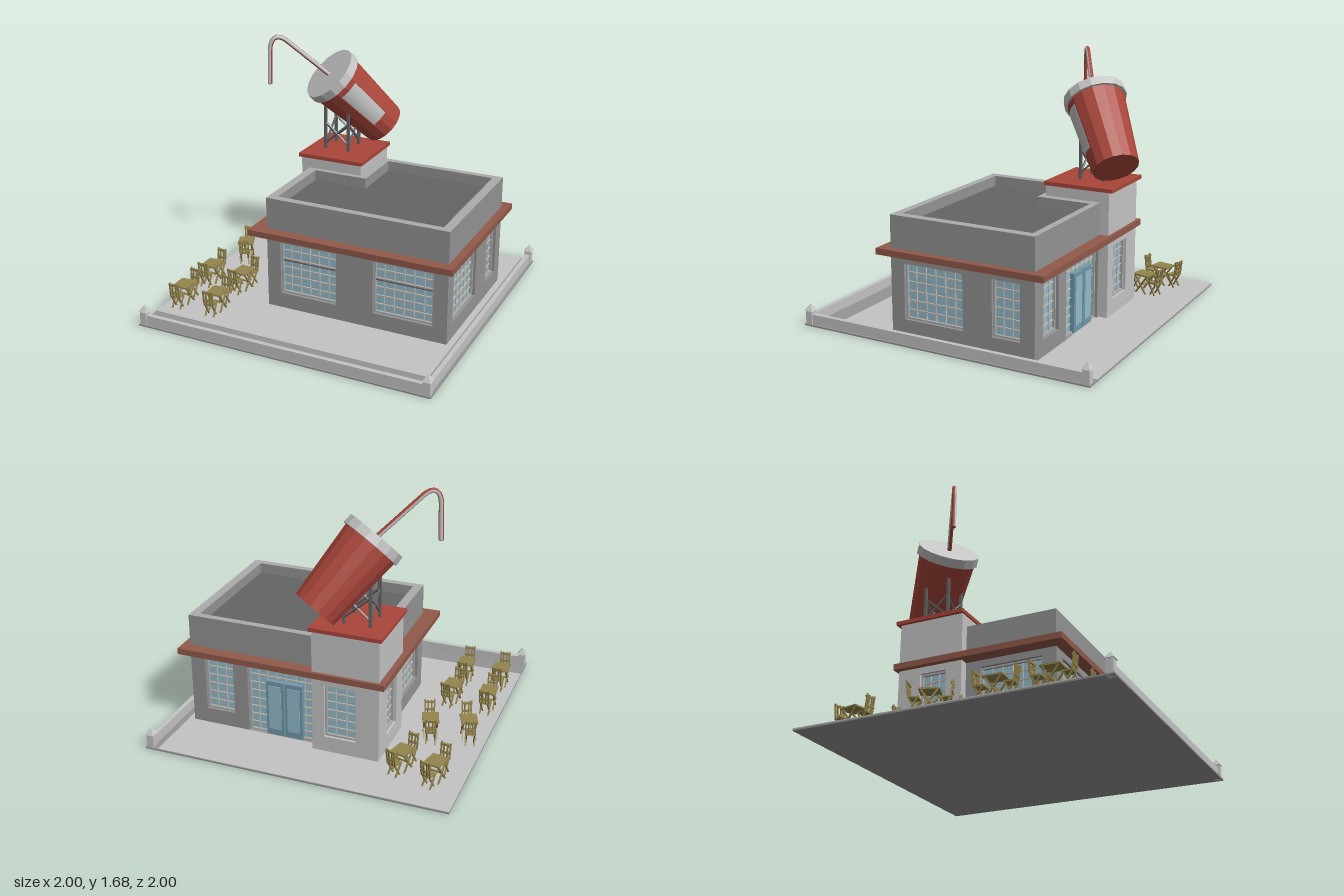
import * as THREE from 'three';

const mat = (name, color, extra = {}) => {
  const m = new THREE.MeshStandardMaterial({ color, ...extra });
  m.name = name;
  return m;
};

export function createModel() {
  const root = new THREE.Group();
  root.name = 'restaurant';
  const light = mat('lightGrey', 0xc4c4c4), grey = mat('wallGrey', 0x949494);
  const trim = mat('trimGrey', 0xacacac), dark = mat('darkGrey', 0x646464);
  const red = mat('red', 0xaa463b), brown = mat('corniceBrown', 0x925a4a);
  const glass = mat('glass', 0x94bccb), doorBlue = mat('doorBlue', 0x7199ab);
  const bead = mat('mullion', 0xc9beb4), wood = mat('wood', 0x94854e);

  const add = (parent, name, geo, m) => {
    const mesh = new THREE.Mesh(geo, m);
    mesh.name = name;
    parent.add(mesh);
    return mesh;
  };
  // box given by its minimum and maximum corners
  const box = (p, name, m, x0, x1, y0, y1, z0, z1) => {
    const b = add(p, name, new THREE.BoxGeometry(x1 - x0, y1 - y0, z1 - z0), m);
    b.position.set((x0 + x1) / 2, (y0 + y1) / 2, (z0 + z1) / 2);
    return b;
  };
  // square bar between two points
  const bar = (p, name, m, a, b, w) => {
    const A = new THREE.Vector3(...a), B = new THREE.Vector3(...b);
    const s = add(p, name, new THREE.BoxGeometry(w, w, A.distanceTo(B)), m);
    s.position.copy(A).add(B).multiplyScalar(0.5);
    s.quaternion.setFromUnitVectors(new THREE.Vector3(0, 0, 1), B.sub(A).normalize());
    return s;
  };
  const poly = (pts, Type = THREE.Shape) => new Type(pts.map(p => new THREE.Vector2(...p)));
  const rect = (x0, x1, y0, y1, Type) => poly([[x0, y0], [x1, y0], [x1, y1], [x0, y1]], Type);

  // ---- ground, low walls and posts ----
  box(root, 'groundPlate', grey, -1, 1, 0, 0.01, -1, 1);
  box(root, 'plaza', light, -1, 0.91, 0.01, 0.016, -1, 0.81);
  box(root, 'frontLowWall', light, -0.95, 0.95, 0.01, 0.075, 0.955, 0.985);
  box(root, 'sideLowWall', light, 0.955, 0.985, 0.01, 0.075, -0.95, 0.95);
  for (const [x, z] of [[-0.97, 0.97], [0.97, 0.97], [0.97, -0.97]]) {
    box(root, 'post', light, x - 0.023, x + 0.023, 0, 0.1, z - 0.023, z + 0.023);
    const cap = add(root, 'postCap', new THREE.ConeGeometry(0.042, 0.045, 4, 1).rotateY(Math.PI / 4).toNonIndexed(), light);
    cap.geometry.computeVertexNormals();
    cap.position.set(x, 0.12, z);
  }

  // ---- walls with recessed windows; u runs to the right seen from outside ----
  const T = 0.05;
  function windowUnit(g, [u0, u1, y0, y1], cols, rows) {
    box(g, 'glass', glass, u0, u1, y0, y1, -0.045, -0.036);
    const f = 0.012, z0 = -0.037, z1 = -0.018;
    box(g, 'windowFrame', trim, u0, u0 + f, y0, y1, z0, z1);
    box(g, 'windowFrame', trim, u1 - f, u1, y0, y1, z0, z1);
    box(g, 'windowFrame', trim, u0, u1, y0, y0 + f, z0, z1);
    box(g, 'windowFrame', trim, u0, u1, y1 - f, y1, z0, z1);
    for (let i = 1; i < cols; i++) {
      const u = u0 + (u1 - u0) * i / cols;
      box(g, 'mullion', bead, u - 0.003, u + 0.003, y0, y1, -0.037, -0.028);
    }
    for (let i = 1; i < rows; i++) {
      const y = y0 + (y1 - y0) * i / rows;
      box(g, 'glazingBar', bead, u0, u1, y - 0.003, y + 0.003, -0.037, -0.028);
    }
  }
  function wall(name, m, angle, dist, u0, u1, holes) {
    const g = new THREE.Group();
    g.name = name;
    g.rotation.y = angle;
    g.position.set(Math.sin(angle) * dist, 0, Math.cos(angle) * dist);
    const s = rect(u0, u1, 0.005, 0.54);
    for (const [a, b, c, d] of holes) s.holes.push(rect(a, b, c, d, THREE.Path));
    add(g, name + 'Panel', new THREE.ExtrudeGeometry(s, { depth: T, bevelEnabled: false }).translate(0, 0, -T), m);
    for (const h of holes) windowUnit(g, h, Math.max(3, Math.round((h[1] - h[0]) / 0.066)), Math.round((h[3] - h[2]) / 0.06));
    root.add(g);
    return g;
  }
  const Y0 = 0.12, Y1 = 0.48, PI = Math.PI;
  const front = wall('frontWall', grey, 0, 0.41, -0.38, 0.87, [[-0.285, 0.115, Y0, Y1], [0.37, 0.775, Y0, Y1]]);
  for (const [a, b] of [[-0.285, 0.115], [0.37, 0.775]])
    box(front, 'transom', dark, a, b, 0.345, 0.352, -0.037, -0.024);
  wall('rightWall', grey, PI / 2, 0.87, -0.41, 0.585, [[-0.315, 0.1, Y0, Y1], [0.3, 0.49, Y0, Y1]]);
  wall('leftWall', grey, -PI / 2, 0.38, -0.21, 0.41, [[-0.1, 0.315, Y0, Y1]]);
  const back = wall('backWall', grey, PI, 0.585, -0.87, 0, [[-0.77, -0.57, Y0, Y1], [-0.47, -0.02, 0.016, Y1]]);
  wall('towerBackWall', light, PI, 0.645, 0, 0.44, [[0.08, 0.29, Y0, Y1]]);
  wall('towerLeftWall', light, -PI / 2, 0.44, -0.645, -0.2, [[-0.49, -0.31, Y0, Y1]]);

  // double entrance door
  for (const [a, b] of [[-0.345, -0.224], [-0.216, -0.095]]) {
    box(back, 'doorLeaf', doorBlue, a, b, 0.016, 0.4, -0.036, -0.005);
    box(back, 'doorPane', glass, a + 0.018, b - 0.018, 0.06, 0.37, -0.006, -0.001);
  }

  // ---- tower, cornice, parapet and roof ----
  box(root, 'towerCore', light, -0.392, 0, 0.005, 0.54, -0.597, -0.2);
  box(root, 'towerTop', light, -0.44, 0, 0.54, 0.85, -0.645, -0.2);
  box(root, 'towerCap', red, -0.46, 0.01, 0.845, 0.87, -0.67, -0.19);
  box(root, 'cornice', brown, -0.478, 0.92, 0.525, 0.565, -0.665, 0.487);
  const par = rect(-0.38, 0.87, -0.41, 0.585);
  par.holes.push(poly([[-0.32, -0.36], [0.81, -0.36], [0.81, 0.54], [0.055, 0.54], [0.055, 0.165], [-0.32, 0.165]], THREE.Path));
  const parGeo = new THREE.ExtrudeGeometry(par, { depth: 0.215, bevelEnabled: false }).rotateX(-PI / 2);
  add(root, 'parapet', parGeo, [trim, grey]).position.y = 0.56;
  box(root, 'roof', dark, -0.35, 0.84, 0.69, 0.705, -0.56, 0.39);

  // ---- scaffold under the cup ----
  const lx = [-0.34, -0.168], lz = [-0.365, -0.53];
  const tops = [[1.2, 1.17], [1.16, 1.06]];
  lx.forEach((x, i) => lz.forEach((z, j) => bar(root, 'scaffoldLeg', dark, [x, 0.865, z], [x, tops[i][j], z], 0.018)));
  for (const [a, b] of [[0.91, 1.06], [1.06, 0.91]]) {
    for (const z of lz) bar(root, 'scaffoldBrace', dark, [lx[0], a, z], [lx[1], b, z], 0.011);
    for (const x of lx) bar(root, 'scaffoldBrace', dark, [x, a, lz[0]], [x, b, lz[1]], 0.011);
  }

  // ---- tilted cup ----
  const base = new THREE.Vector3(-0.04, 1.0, -0.67), lidC = new THREE.Vector3(-0.32, 1.4, -0.38);
  const axis = lidC.clone().sub(base), L = axis.length();
  const cup = new THREE.Group();
  cup.name = 'cup';
  cup.position.copy(base);
  cup.quaternion.setFromUnitVectors(new THREE.Vector3(0, 1, 0), axis.normalize());
  root.add(cup);
  const flat = geo => {
    const g = geo.toNonIndexed();
    g.computeVertexNormals();
    return g;
  };
  const R = y => 0.15 + 0.043 * y / L;
  add(cup, 'cupBody', flat(new THREE.CylinderGeometry(R(L), R(0), L - 0.02, 16)), red).position.y = (L - 0.02) / 2;
  add(cup, 'cupLid', flat(new THREE.CylinderGeometry(0.203, 0.206, 0.06, 16)), light).position.y = L - 0.03;
  // curved label facing front right
  const n = new THREE.Vector3(0.7, 0, 0.7).applyQuaternion(cup.quaternion.clone().invert());
  const mid = Math.atan2(n.x, n.z), half = 0.36, y0 = 0.13, y1 = 0.46;
  const label = new THREE.CylinderGeometry(R(y1) + 0.003, R(y0) + 0.003, y1 - y0, 6, 1, true, mid - half, 2 * half);
  add(cup, 'cupLabel', label, light).position.y = (y0 + y1) / 2;

  // ---- striped bent straw ----
  const v = (x, y, z) => new THREE.Vector3(x, y, z);
  const path = new THREE.CurvePath();
  const a = v(-0.31, 1.385, -0.385), b = v(-0.555, 1.635, -0.225), c = v(-0.65, 1.57, -0.166), d = v(-0.655, 1.345, -0.163);
  path.add(new THREE.LineCurve3(a, b));
  path.add(new THREE.CubicBezierCurve3(b, v(-0.605, 1.685, -0.192), v(-0.648, 1.665, -0.168), c));
  path.add(new THREE.LineCurve3(c, d));
  const tube = new THREE.TubeGeometry(path, 40, 0.016, 8, false);
  [red, light].forEach((m, k) => {
    const g = tube.clone();
    g.setIndex([...tube.index.array].filter((_, i) => Math.floor((Math.floor(i / 6) % 8) / 2) % 2 === k));
    add(root, k ? 'strawLightStripe' : 'strawRedStripe', g, m);
  });
  add(root, 'strawTip', new THREE.CylinderGeometry(0.015, 0.015, 0.006, 8), red).position.copy(d);

  // ---- terrace tables with two chairs each ----
  function chair() {
    const g = new THREE.Group();
    g.name = 'chair';
    box(g, 'seat', wood, -0.034, 0.034, 0.097, 0.106, -0.035, 0.03);
    for (const s of [-1, 1]) {
      bar(g, 'backPost', wood, [s * 0.03, 0.1, 0.026], [s * 0.03, 0.205, 0.04], 0.009);
      bar(g, 'chairLeg', wood, [s * 0.029, 0.1, -0.03], [s * 0.029, 0.004, 0.028], 0.009);
      bar(g, 'chairLeg', wood, [s * 0.025, 0.1, 0.026], [s * 0.025, 0.004, -0.03], 0.009);
    }
    for (const x of [-0.012, 0.012]) bar(g, 'backSlat', wood, [x, 0.1, 0.027], [x, 0.2, 0.039], 0.009);
    for (const y of [0.13, 0.185]) box(g, 'backRail', wood, -0.034, 0.034, y, y + 0.012, 0.027, 0.039);
    return g;
  }
  const sets = [[-0.826, -0.7, -0.2], [-0.6, -0.655, -0.25], [-0.88, -0.155, 0.38], [-0.645, -0.225, 0.33],
    [-0.9, 0.27, 0.03], [-0.65, 0.275, -0.1], [-0.9, 0.615, 0.02], [-0.65, 0.615, 0.06]];
  for (const [x, z, r] of sets) {
    const g = new THREE.Group();
    g.name = 'tableSet';
    g.position.set(x, 0, z);
    g.rotation.y = r;
    box(g, 'tableTop', wood, -0.054, 0.054, 0.14, 0.15, -0.062, 0.062);
    for (const s of [-1, 1]) for (const k of [-1, 1])
      bar(g, 'tableLeg', wood, [s * 0.042, 0.142, k * 0.05], [s * 0.042, 0.004, -k * 0.05], 0.01);
    bar(g, 'tableStretcher', wood, [-0.042, 0.073, 0], [0.042, 0.073, 0], 0.009);
    for (const s of [0, 1]) {
      const ch = chair();
      ch.position.z = s ? -0.092 : 0.092;
      ch.rotation.y = s ? PI - 0.12 : 0.04;
      g.add(ch);
    }
    root.add(g);
  }
  return root;
}
